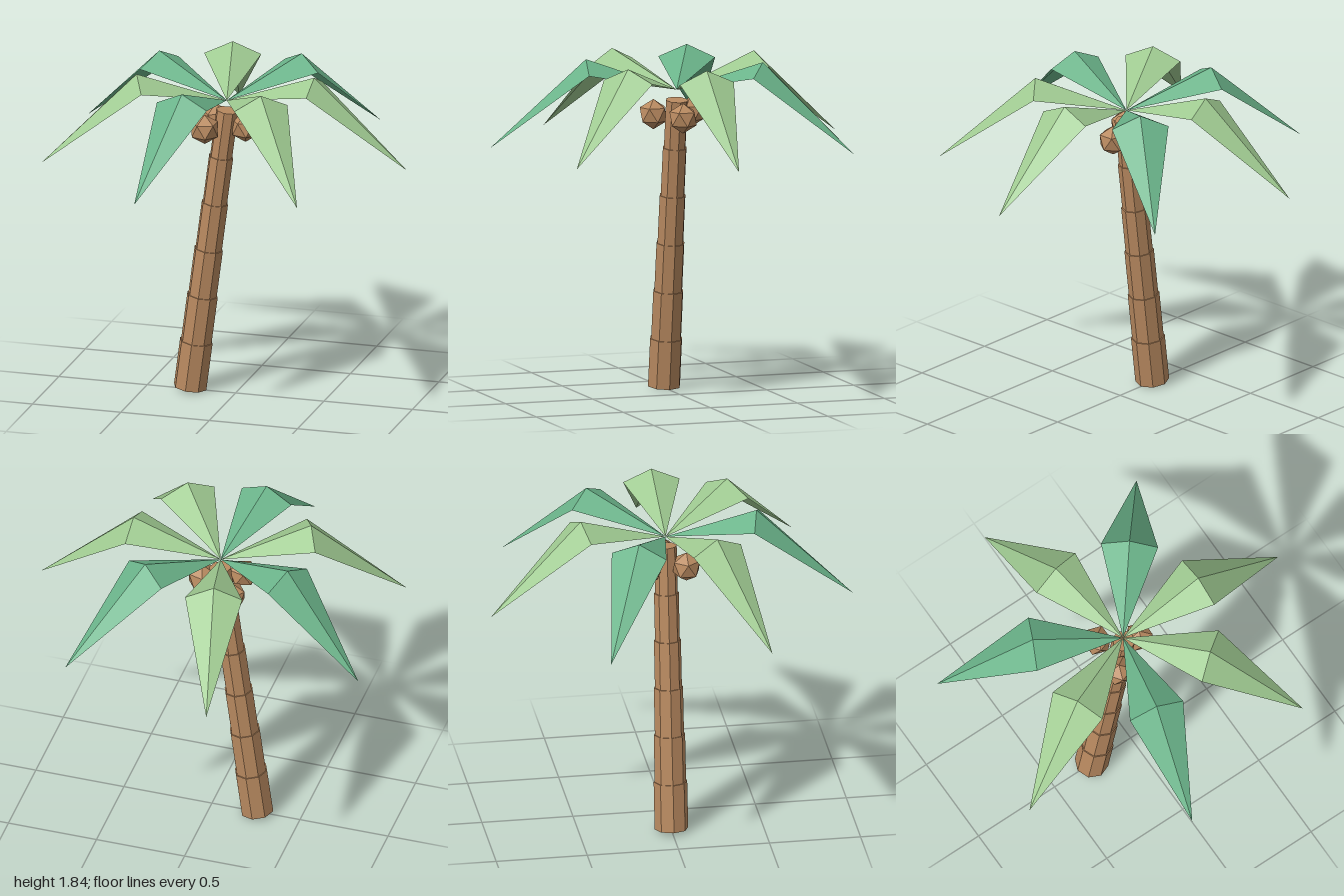
import * as THREE from 'three';

const flat = (name, color, side = THREE.FrontSide) =>
  new THREE.MeshStandardMaterial({ name, color, side, flatShading: true });

// Folded leaf pointing along +x: ridge rises to the bend, then drops to the tip
function leafGeometry() {
  const root = [0, 0, 0], bend = [0.495, 0.175, 0], tip = [1.02, -0.305, 0];
  const near = [0.495, 0.105, 0.155], far = [0.495, 0.105, -0.155];
  const faces = [root, near, bend, root, bend, far, bend, near, tip, bend, tip, far];
  const geo = new THREE.BufferGeometry();
  geo.setAttribute('position', new THREE.Float32BufferAttribute(faces.flat(), 3));
  geo.computeVertexNormals();
  return geo;
}

export function createModel() {
  const brown = flat('bark brown', 0xb98a60);
  const light = flat('light leaf green', 0xa0cb92, THREE.DoubleSide);
  const deep = flat('deep leaf green', 0x6bb48a, THREE.DoubleSide);
  const palm = new THREE.Group();
  palm.name = 'palmTree';

  // Leaning trunk of stepped, narrowing segments
  const trunk = new THREE.Group();
  trunk.name = 'trunk';
  const count = 6, height = 0.2685;
  for (let i = 0; i < count; i++) {
    const r = 0.092 - 0.006 * i;
    const segment = new THREE.Mesh(new THREE.CylinderGeometry(r, r, height, 8), brown);
    segment.name = 'trunkSegment';
    segment.position.y = (i + 0.5) * height;
    trunk.add(segment);
  }
  trunk.position.set(-0.257, 0.012, 0);
  trunk.rotation.z = -0.131;
  palm.add(trunk);

  // Coconuts hanging around the trunk top, one corner pointing up
  const nutGeo = new THREE.IcosahedronGeometry(0.083, 0);
  nutGeo.rotateZ(Math.atan(2 / (1 + Math.sqrt(5))));
  for (const [x, z] of [[0.056, 0], [-0.145, 0.1], [-0.145, -0.11]]) {
    const nut = new THREE.Mesh(nutGeo, brown);
    nut.name = 'coconut';
    nut.position.set(x, 1.522, z);
    palm.add(nut);
  }

  // Crown of seven leaves in alternating greens
  const crown = new THREE.Group();
  crown.name = 'crown';
  crown.position.set(-0.05, 1.665, 0);
  const leafGeo = leafGeometry();
  for (let i = 0; i < 7; i++) {
    const leaf = new THREE.Mesh(leafGeo, i % 2 ? deep : light);
    leaf.name = 'leaf';
    leaf.rotation.y = (i * Math.PI * 2) / 7;
    crown.add(leaf);
  }
  palm.add(crown);
  return palm;
}
